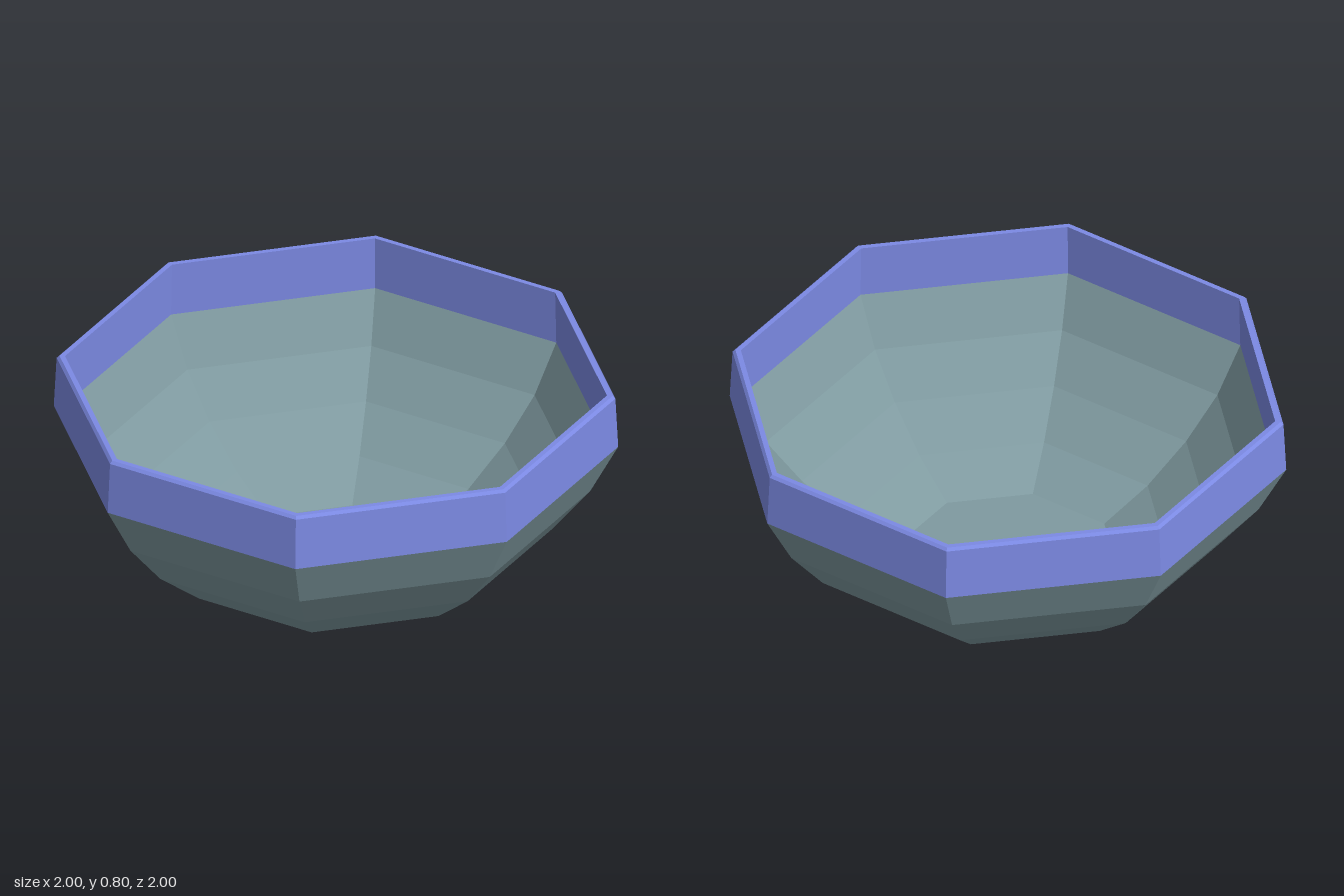
import * as THREE from 'three';

const SIDES = 8;

// Faceted ring turned from [radius, height] points; climbing points face outward
function turned(name, profile, material) {
  const points = profile.map(([r, y]) => new THREE.Vector2(r, y));
  const mesh = new THREE.Mesh(new THREE.LatheGeometry(points, SIDES), material);
  mesh.name = name;
  return mesh;
}

export function createModel() {
  const bowl = new THREE.Group();
  bowl.name = 'bowl';
  const clay = new THREE.MeshStandardMaterial({ color: 0x7f9aa0, flatShading: true });
  const glaze = new THREE.MeshStandardMaterial({ color: 0x7c8ae4, flatShading: true });

  // Flat foot and curved outer wall
  bowl.add(turned('outerWall', [
    [0, 0], [0.41, 0], [0.6, 0.1], [0.77, 0.24], [0.9, 0.4], [1, 0.59],
  ], clay));

  // Curved inner wall down to the flat floor
  bowl.add(turned('innerWall', [
    [0.965, 0.59], [0.87, 0.41], [0.74, 0.26], [0.58, 0.13], [0.4, 0.035], [0, 0.035],
  ], clay));

  // Coloured rim band with a small bevel on its outer top edge
  bowl.add(turned('rimBand', [
    [1, 0.59], [0.99, 0.785], [0.98, 0.795], [0.96, 0.795], [0.965, 0.59],
  ], glaze));

  return bowl;
}
